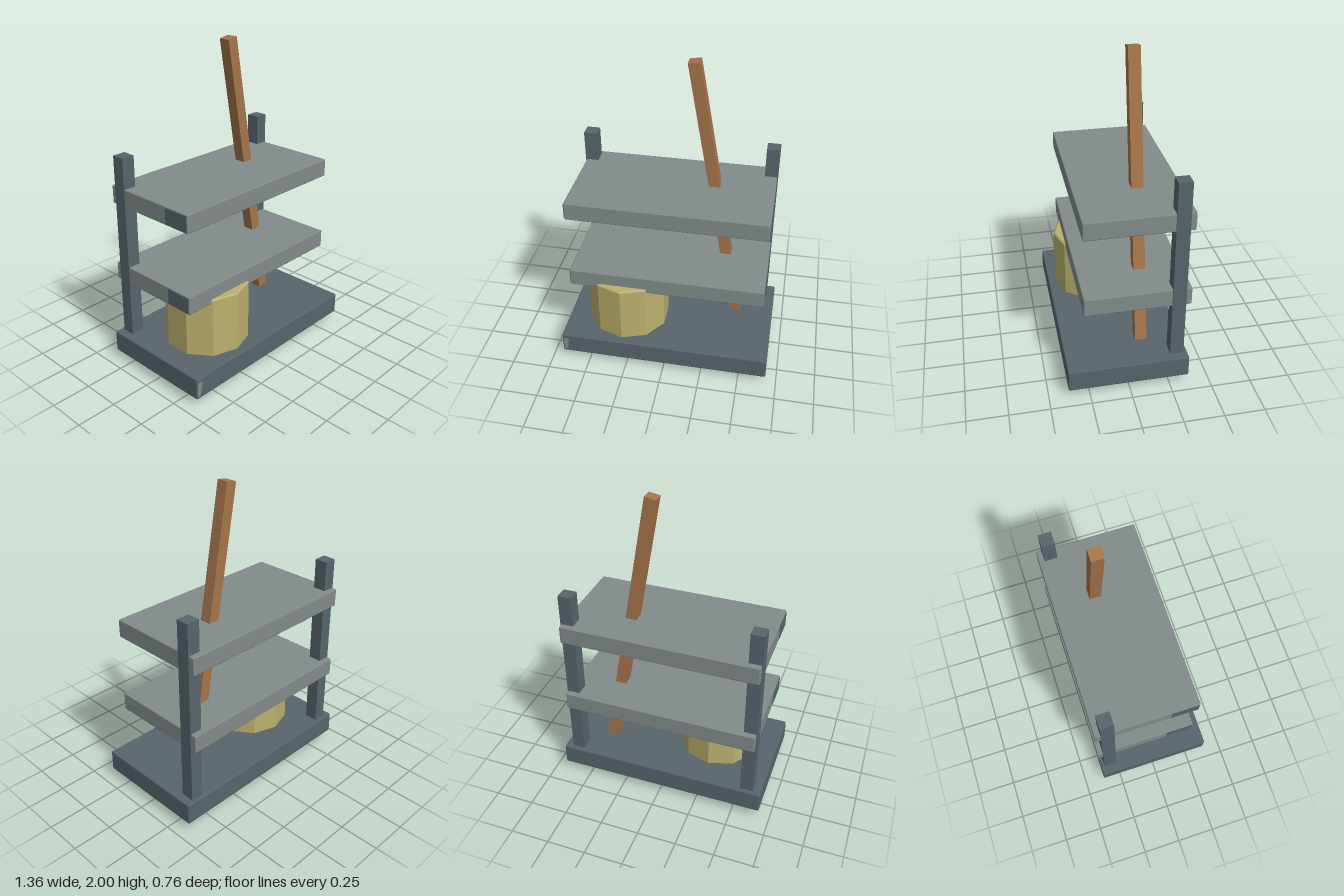
import * as THREE from 'three';
import { RoundedBoxGeometry } from 'three/addons/geometries/RoundedBoxGeometry.js';

const paint = (name, color) => {
  const m = new THREE.MeshStandardMaterial({ color });
  m.name = name;
  return m;
};

export function createModel() {
  const model = new THREE.Group();
  model.name = 'shelfRack';

  const slate = paint('slate', 0x58656c);
  const grey = paint('grey', 0x838b8b);
  const wood = paint('wood', 0xa6754b);
  const straw = paint('straw', 0xbbb06e);

  const add = (name, geometry, material, x, y, z) => {
    const mesh = new THREE.Mesh(geometry, material);
    mesh.name = name;
    mesh.position.set(x, y, z);
    model.add(mesh);
    return mesh;
  };

  // Base slab with a worn patch at one front corner
  add('base', new RoundedBoxGeometry(1.36, 0.14, 0.75, 1, 0.009), slate, 0, 0.123, 0.005);
  const wear = new THREE.Shape();
  wear.moveTo(-0.672, 0.065);
  wear.lineTo(-0.65, 0.075);
  wear.lineTo(-0.635, 0.155);
  wear.lineTo(-0.645, 0.17);
  wear.lineTo(-0.672, 0.165);
  add('baseWear', new THREE.ShapeGeometry(wear), grey, 0, 0, 0.381);

  // Rear posts, reaching just below the base
  for (const side of [-1, 1]) {
    add(side > 0 ? 'leftPost' : 'rightPost',
      new THREE.BoxGeometry(0.084, 1.34, 0.084), slate, side * 0.585, 0.71, -0.302);
  }

  // Two shelves, each with a dark plate on the end at the front corner
  [0.613, 1.127].forEach((y, i) => {
    const label = i ? 'upper' : 'lower';
    add(label + 'Shelf', new RoundedBoxGeometry(1.244, 0.116, 0.65, 1, 0.007), grey, 0, y, -0.055);
    add(label + 'ShelfEndPlate', new THREE.BoxGeometry(0.004, 0.1, 0.172), slate, -0.622, y, 0.178);
  });

  // Leaning lever passing through both shelves and the base
  const lever = add('lever', new THREE.BoxGeometry(0.071, 2.018, 0.073), wood, 0.28, 1.0, -0.115);
  lever.rotation.z = THREE.MathUtils.degToRad(10);

  // Ten-sided drum with a small chamfer on its rim
  const profile = [[0, 0.17], [0.265, 0.17], [0.265, 0.576], [0.256, 0.585], [0, 0.585]]
    .map(([r, y]) => new THREE.Vector2(r, y));
  const drum = new THREE.LatheGeometry(profile, 10).toNonIndexed();
  drum.computeVertexNormals();
  add('drum', drum, straw, -0.285, 0, 0.065);

  return model;
}
